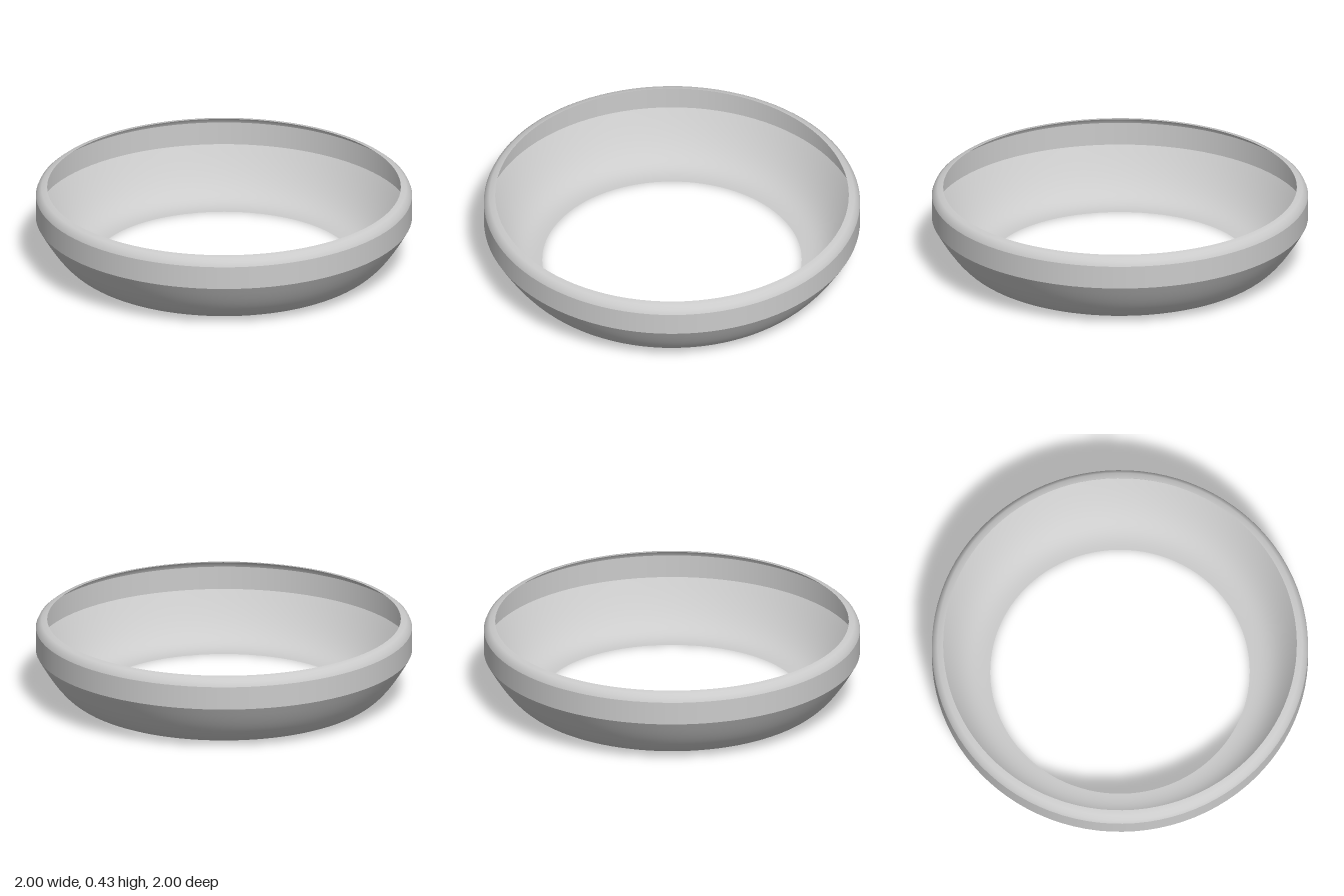
import * as THREE from 'three';

const SEGMENTS = 96;
const v = (x, y) => new THREE.Vector2(x, y);

export function createModel() {
  const group = new THREE.Group();
  group.name = 'openRing';
  // Thin open sheet, visible from both sides
  const material = new THREE.MeshStandardMaterial({ color: 0xcccccc, side: THREE.DoubleSide });

  // Each section is its own lathe, listed bottom to top, so the creases between them stay sharp
  const addSection = (name, points) => {
    const mesh = new THREE.Mesh(new THREE.LatheGeometry(points, SEGMENTS), material);
    mesh.name = name;
    group.add(mesh);
  };

  // Curved lower bowl, flat where it meets the open base
  const bowl = new THREE.CubicBezierCurve(v(0.69, 0), v(0.80, 0), v(0.87, 0.03), v(1, 0.26));
  addSection('lowerBowl', bowl.getPoints(16));

  // Straight outer wall
  addSection('outerBand', [v(1, 0.26), v(1, 0.385)]);

  // Rounded rim turning inward to the top opening
  addSection('topRim', [v(1, 0.385), v(0.99, 0.408), v(0.97, 0.424), v(0.94, 0.43)]);

  return group;
}
